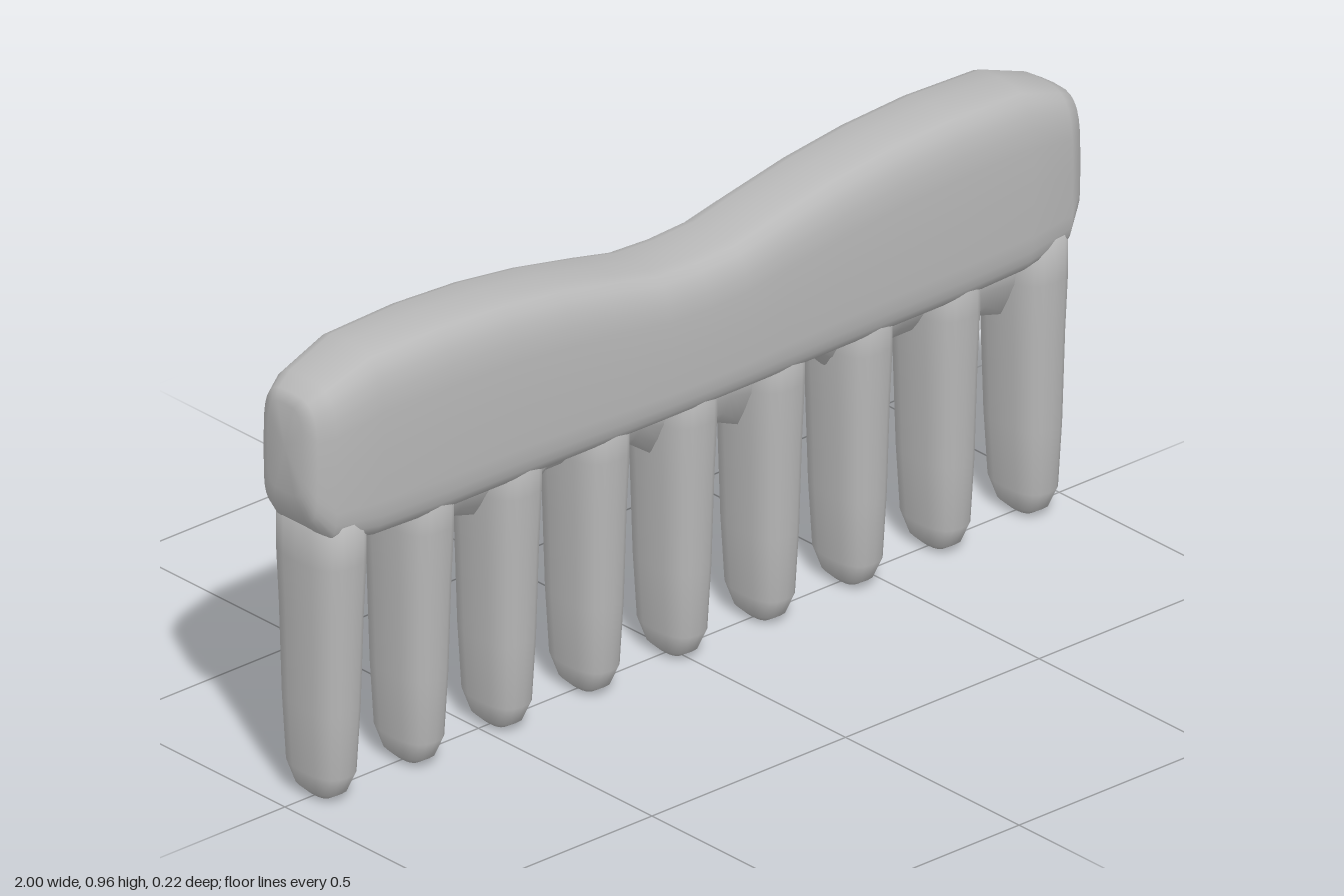
import * as THREE from 'three';

// Superellipse coordinate: a smaller power gives squarer corners
const sq = (v, p) => Math.sign(v) * Math.abs(v) ** p;

// Closed skin over a run of rings, capped at both ends
function loft(stations, sides, point) {
  const pos = [], index = [], last = stations.length - 1;
  for (const s of stations) {
    for (let j = 0; j < sides; j++) {
      const t = (j / sides) * Math.PI * 2;
      pos.push(...point(s, Math.cos(t), Math.sin(t)));
    }
  }
  const start = pos.length / 3;
  pos.push(...point(stations[0], 0, 0), ...point(stations[last], 0, 0));
  for (let j = 0; j < sides; j++) {
    const k = (j + 1) % sides;
    for (let i = 0; i < last; i++) {
      const a = i * sides, b = a + sides;
      index.push(a + j, b + j, a + k, b + j, b + k, a + k);
    }
    index.push(start, j, k, start + 1, last * sides + k, last * sides + j);
  }
  const g = new THREE.BufferGeometry();
  g.setAttribute('position', new THREE.Float32BufferAttribute(pos, 3));
  g.setIndex(index);
  g.computeVertexNormals();
  return g;
}

export function createModel() {
  const group = new THREE.Group();
  const grey = new THREE.MeshStandardMaterial({ color: 0xb8b8b8 });
  grey.name = 'grey';

  const add = (name, geometry) => {
    const mesh = new THREE.Mesh(geometry, grey);
    mesh.name = name;
    group.add(mesh);
    return mesh;
  };

  // Wavy back: x, bottom, top, half depth; mirrored about the middle
  const half = [
    [-1, 0.68, 0.87, 0.05], [-0.985, 0.625, 0.89, 0.078], [-0.95, 0.575, 0.912, 0.096],
    [-0.84, 0.555, 0.952, 0.107], [-0.66, 0.55, 0.957, 0.11], [-0.5, 0.55, 0.948, 0.11],
    [-0.35, 0.55, 0.928, 0.11], [-0.2, 0.55, 0.897, 0.11], [-0.1, 0.55, 0.874, 0.11],
  ];
  const mirrored = half.map(([x, ...rest]) => [-x, ...rest]).reverse();
  const spine = [...half, [0, 0.55, 0.869, 0.11], ...mirrored];
  add('combBack', loft(spine, 28, ([x, bottom, top, depth], c, s) => [
    x,
    (bottom + top) / 2 + sq(s, s < 0 ? 0.4 : 0.6) * (top - bottom) / 2,
    sq(c, s < 0 ? 0.4 : 0.55) * depth,
  ]));

  // Rounded teeth: y, half width, half depth
  const profile = [
    [0, 0.018, 0.03], [0.018, 0.036, 0.058], [0.06, 0.048, 0.077], [0.2, 0.056, 0.084],
    [0.4, 0.061, 0.09], [0.52, 0.066, 0.095], [0.62, 0.066, 0.095],
  ];
  const tooth = loft(profile, 20, ([y, w, d], c, s) => [sq(c, 0.75) * w, y, sq(s, 0.75) * d]);
  const pitch = 0.2265;
  for (let i = 0; i < 9; i++) add('tooth' + (i + 1), tooth).position.x = (i - 4) * pitch;

  // Wedge fillets in the gaps: lower edge at the left and the right of each gap
  const webs = [
    [0.42, 0.55], [0.48, 0.46], [0.42, 0.5], [0.48, 0.43],
    [0.45, 0.42], [0.53, 0.46], [0.46, 0.48], [0.45, 0.43],
  ];
  webs.forEach(([a, b], i) => {
    const x = (i - 3.5) * pitch;
    const ends = [[x - 0.07, a], [x, Math.max(a, b)], [x + 0.07, b]];
    add('web' + (i + 1), loft(ends, 10, ([px, low], c, s) => [
      px,
      (low + 0.6) / 2 + s * (0.6 - low) / 2,
      c * (0.045 + 0.03 * s),
    ]));
  });

  return group;
}
